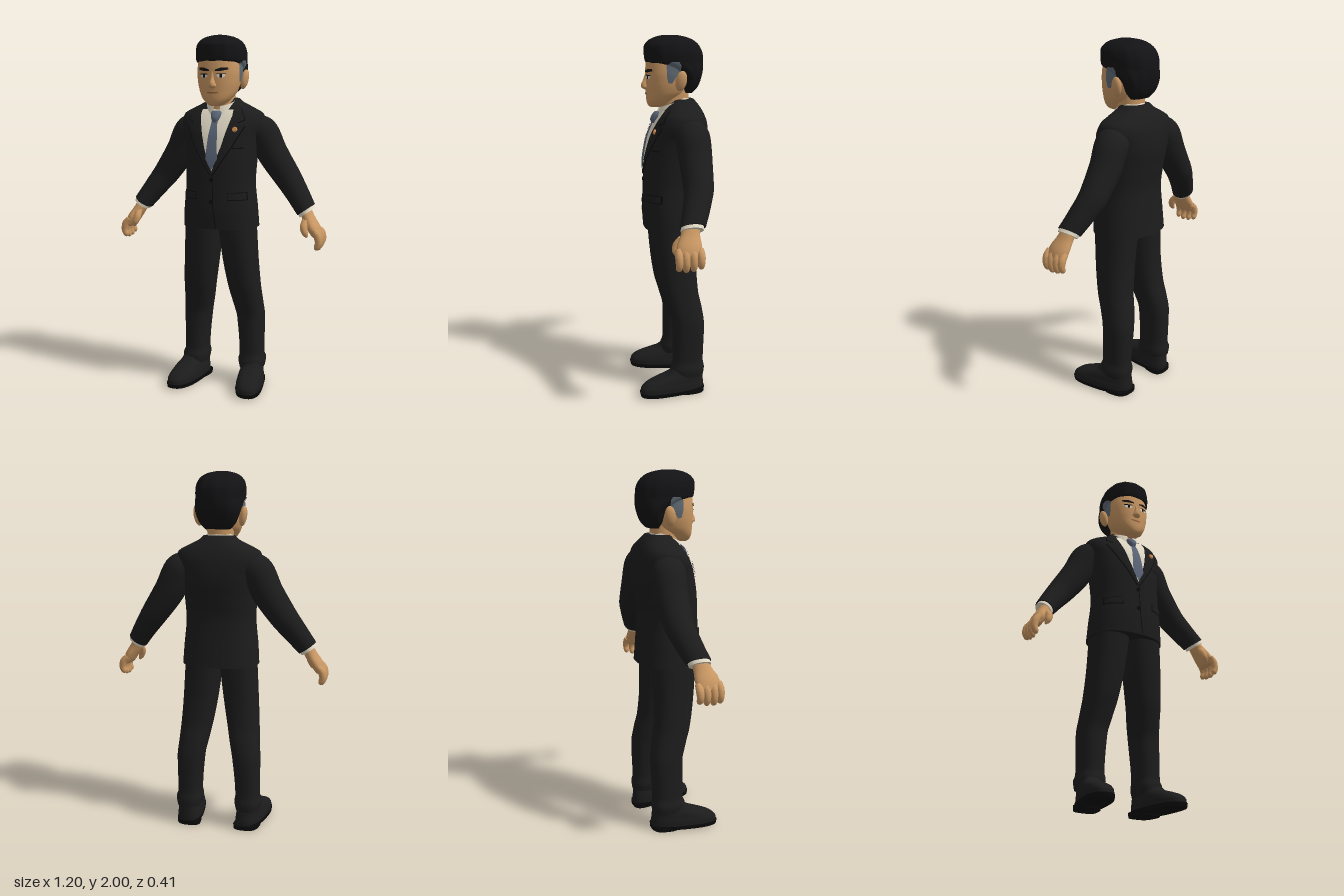
import * as THREE from 'three';

const mat = (name, color, side = THREE.FrontSide) => {
  const m = new THREE.MeshStandardMaterial({ color, side });
  m.name = name;
  return m;
};

// Smooth monotone interpolation of rows [t, v0, v1, ...]
function profile(rows) {
  const slope = (i, k) => (rows[i + 1][k] - rows[i][k]) / (rows[i + 1][0] - rows[i][0]);
  const tangent = (i, k) => {
    if (i === 0) return slope(0, k);
    if (i === rows.length - 1) return slope(i - 1, k);
    const a = slope(i - 1, k), b = slope(i, k);
    return a * b <= 0 ? 0 : (2 * a * b) / (a + b);
  };
  return t => {
    let i = 0;
    while (i < rows.length - 2 && t > rows[i + 1][0]) i++;
    const h = rows[i + 1][0] - rows[i][0];
    const s = Math.min(1, Math.max(0, (t - rows[i][0]) / h)), s2 = s * s, s3 = s2 * s;
    return rows[i].slice(1).map((v, j) => v * (2 * s3 - 3 * s2 + 1) + rows[i + 1][j + 1] * (3 * s2 - 2 * s3)
      + h * (tangent(i, j + 1) * (s3 - 2 * s2 + s) + tangent(i + 1, j + 1) * (s3 - s2)));
  };
}

// Closed skin over rings of points, with separate flat end caps
function skin(rings) {
  const n = rings[0].length, pos = [], idx = [];
  rings.forEach(r => r.forEach(p => pos.push(...p)));
  for (let i = 0; i < rings.length - 1; i++) for (let j = 0; j < n; j++) {
    const a = i * n + j, b = i * n + (j + 1) % n;
    idx.push(a, a + n, b, b, a + n, b + n);
  }
  [rings[0], rings[rings.length - 1]].forEach((r, end) => {
    const base = pos.length / 3;
    r.forEach(p => pos.push(...p));
    pos.push(...[0, 1, 2].map(k => r.reduce((s, p) => s + p[k], 0) / n));
    for (let j = 0; j < n; j++) {
      const a = base + j, b = base + (j + 1) % n;
      idx.push(base + n, end ? b : a, end ? a : b);
    }
  });
  return finish(pos, idx);
}
function finish(pos, idx) {
  const g = new THREE.BufferGeometry();
  g.setAttribute('position', new THREE.Float32BufferAttribute(pos, 3));
  g.setIndex(idx);
  g.computeVertexNormals();
  return g;
}

const power = (v, p) => Math.sign(v) * Math.abs(v) ** (2 / p);

// Upright body from rows [y, xMin, xMax, zFront, zBack]
function column(rows, p = 2.2, steps = 40, n = 40, ripple = 0) {
  const f = profile(rows), y0 = rows[0][0], y1 = rows[rows.length - 1][0], rings = [];
  for (let i = 0; i <= steps; i++) {
    const y = y0 + (y1 - y0) * i / steps, [a, b, zf, zb] = f(y), ring = [];
    for (let j = 0; j < n; j++) {
      const t = j / n * Math.PI * 2, k = 1 + ripple * Math.cos(12 * t);
      ring.push([(a + b) / 2 + k * (b - a) / 2 * power(Math.cos(t), p), y,
        (zf + zb) / 2 + k * (zf - zb) / 2 * power(Math.sin(t), p)]);
    }
    rings.push(ring);
  }
  return skin(rings);
}

// Limb along rows [x, y, z, radiusAcross, radiusZ]
function limb(rows, steps = 24, n = 24) {
  const f = profile(rows.map((r, i) => [i, ...r])), m = rows.length - 1, rings = [];
  for (let i = 0; i <= steps; i++) {
    const t = m * i / steps, [x, y, z, ru, rz] = f(t);
    const a = f(Math.max(0, t - 0.1)), b = f(Math.min(m, t + 0.1));
    const d = Math.hypot(b[0] - a[0], b[1] - a[1]), tx = (b[0] - a[0]) / d, ty = (b[1] - a[1]) / d;
    rings.push(Array.from({ length: n }, (_, j) => {
      const q = j / n * Math.PI * 2, u = ru * Math.cos(q);
      return [x + ty * u, y - tx * u, z + rz * Math.sin(q)];
    }));
  }
  return skin(rings);
}

// Thin plate from rows [y, u0, u1] (bottom up) laid on a surface
function patch(rows, place, cols = 10, sub = 6) {
  const pos = [], idx = [], total = (rows.length - 1) * sub;
  for (let i = 0; i <= total; i++) {
    const k = Math.min(rows.length - 2, Math.floor(i / sub)), s = i / sub - k;
    const [y, a, b] = rows[k].map((v, c) => v + (rows[k + 1][c] - v) * s);
    for (let j = 0; j <= cols; j++) pos.push(...place(a + (b - a) * j / cols, y));
  }
  for (let i = 0; i < total; i++) for (let j = 0; j < cols; j++) {
    const a = i * (cols + 1) + j, c = a + cols + 1;
    idx.push(a, a + 1, c, a + 1, c + 1, c);
  }
  return finish(pos, idx);
}
const onFront = (rows, p, off) => {
  const f = profile(rows);
  return (x, y) => {
    const [a, b, zf, zb] = f(y), q = Math.min(1, Math.abs(x - (a + b) / 2) / ((b - a) / 2));
    return [x, y, (zf + zb) / 2 + (zf - zb) / 2 * (1 - q ** p) ** (1 / p) + off];
  };
};
const sym = rows => rows.map(([y, a, ...z]) => [y, -a, a, ...z]);

export function createModel() {
  const suit = mat('suit black', 0x1c1c1d), hair = mat('hair black', 0x131315), skinTone = mat('skin', 0xc99763);
  const shirt = mat('shirt cream', 0xe2dac6, THREE.DoubleSide), tie = mat('tie blue grey', 0x5b6679);
  const temple = mat('temple grey', 0x5f6a74), pin = mat('pin copper', 0xd58c50), seam = mat('seam dark', 0x0b0b0c);
  const lip = mat('lip brown', 0x99643f), eye = mat('eye white', 0xd9d6cc);
  const root = new THREE.Group();
  const add = (name, geo, m) => {
    const mesh = new THREE.Mesh(geo, m);
    mesh.name = name;
    root.add(mesh);
  };
  const pair = (name, geo, m) => {
    add('left ' + name, geo, m);
    const g = geo.clone().scale(-1, 1, 1), ix = g.index.array;
    for (let i = 0; i < ix.length; i += 3) [ix[i], ix[i + 1]] = [ix[i + 1], ix[i]];
    add('right ' + name, g, m);
  };

  // Jacket body
  const torso = sym([[0.945, 0.215, 0.145, -0.188], [1.05, 0.208, 0.15, -0.18], [1.2, 0.195, 0.145, -0.172],
    [1.32, 0.2, 0.14, -0.188], [1.45, 0.215, 0.118, -0.206], [1.53, 0.238, 0.085, -0.2], [1.57, 0.23, 0.062, -0.188],
    [1.61, 0.165, 0.035, -0.17], [1.64, 0.105, 0.015, -0.15], [1.66, 0.085, 0, -0.132]]);
  const chest = off => onFront(torso, 2.4, off);
  add('jacket', column(torso, 2.4, 60, 56), suit);
  add('shirt front', patch([[1.265, -0.001, 0.001], [1.4, -0.055, 0.055], [1.57, -0.098, 0.098], [1.6, -0.09, 0.09]], chest(0.003)), shirt);
  const lapel = [[1.25, -0.004, 0.008], [1.4, 0.05, 0.105], [1.515, 0.08, 0.165], [1.53, 0.084, 0.125],
    [1.545, 0.088, 0.16], [1.57, 0.094, 0.15], [1.61, 0.092, 0.125]];
  pair('lapel edge', patch(lapel.map(([y, a, b]) => [y - 0.003, a - 0.002, b + 0.005]), chest(0.005)), seam);
  pair('lapel', patch(lapel, chest(0.009)), suit);
  add('jacket closing seam', patch([[0.95, 0.022, 0.028], [1.06, 0.008, 0.013], [1.25, 0.002, 0.007]], chest(0.003)), seam);
  pair('pocket edge', patch([[1.107, 0.09, 0.186], [1.152, 0.092, 0.183]], chest(0.004)), seam);
  pair('pocket flap', patch([[1.113, 0.094, 0.182], [1.148, 0.096, 0.179]], chest(0.008)), suit);
  add('breast pocket', patch([[1.39, 0.11, 0.165], [1.396, 0.11, 0.165]], chest(0.004)), seam);
  for (const y of [1.22, 1.1]) {
    const [x, , z] = chest(0.004)(0, y);
    add('button', new THREE.CylinderGeometry(0.011, 0.011, 0.008, 16).rotateX(Math.PI / 2).translate(x, y, z), seam);
  }
  add('lapel pin', new THREE.CylinderGeometry(0.012, 0.016, 0.01, 8).rotateX(1.3).translate(...chest(0.014)(0.117, 1.495)), pin);

  // Shirt collar, lowered at the front into two points
  const collar = new THREE.CylinderGeometry(0.08, 0.1, 0.075, 48, 1, true, 0.22, Math.PI * 2 - 0.44);
  const cp = collar.attributes.position;
  for (let i = 0; i < cp.count; i++) {
    const x = cp.getX(i), z = cp.getZ(i), low = cp.getY(i) < 0 && z > 0;
    const drop = low ? 0.035 * Math.max(0, 1 - Math.abs(Math.abs(x) - 0.055) / 0.045) : 0;
    cp.setXYZ(i, x, 1.612 + cp.getY(i) - z * 0.4 - drop, z - 0.022 + drop * 0.3);
  }
  collar.computeVertexNormals();
  add('shirt collar', collar, shirt);
  add('tie', patch([[1.275, -0.002, 0.002], [1.335, -0.034, 0.034], [1.45, -0.026, 0.026], [1.55, -0.015, 0.015]], chest(0.012)), tie);
  add('tie knot', column(sym([[1.53, 0.014, 0.1, 0.06], [1.55, 0.022, 0.106, 0.05], [1.58, 0.029, 0.092, 0.04], [1.592, 0.024, 0.08, 0.04]]), 2.5, 10, 20), tie);

  // Neck and head
  add('neck', column(sym([[1.52, 0.075, 0.05, -0.1], [1.64, 0.072, 0.045, -0.105], [1.76, 0.075, 0.05, -0.11]])), skinTone);
  const head = sym([[1.618, 0.025, 0.105, 0.04], [1.628, 0.046, 0.118, 0.01], [1.66, 0.08, 0.126, -0.03], [1.7, 0.103, 0.128, -0.08],
    [1.75, 0.116, 0.13, -0.1], [1.8, 0.121, 0.13, -0.11], [1.87, 0.117, 0.125, -0.13], [1.94, 0.09, 0.09, -0.11]]);
  const face = off => onFront(head, 2.2, off);
  add('head', column(head, 2.2, 48, 48), skinTone);
  add('nose', column(sym([[1.712, 0.009, 0.134, 0.1], [1.724, 0.024, 0.154, 0.1], [1.738, 0.019, 0.155, 0.1],
    [1.765, 0.011, 0.143, 0.1], [1.805, 0.009, 0.13, 0.1]]), 2, 16, 20), skinTone);
  add('mouth', patch([[1.685, -0.015, 0.015], [1.69, -0.032, 0.032], [1.695, -0.03, 0.03]], face(0.003)), lip);
  pair('eye', patch([[1.771, 0.033, 0.06], [1.779, 0.025, 0.07], [1.789, 0.03, 0.068]], face(0.003)), eye);
  pair('iris', patch([[1.771, 0.042, 0.054], [1.79, 0.042, 0.054]], face(0.005)), seam);
  pair('upper lid', patch([[1.788, 0.024, 0.074], [1.793, 0.03, 0.072]], face(0.005)), seam);
  pair('eyebrow', patch([[1.806, 0.016, 0.05], [1.813, 0.018, 0.084], [1.824, 0.05, 0.082]], face(0.005)), hair);
  const ear = new THREE.SphereGeometry(0.05, 20, 14).scale(0.42, 1.1, 0.62).rotateZ(-0.18).rotateX(-0.15);
  pair('ear', ear.translate(0.127, 1.763, -0.042), skinTone);

  // Swept back hair with soft grooves
  const hairRows = sym([[1.695, 0.07, -0.07, -0.125], [1.73, 0.1, -0.05, -0.155], [1.78, 0.12, -0.035, -0.173],
    [1.82, 0.129, 0.02, -0.182], [1.845, 0.132, 0.085, -0.184], [1.862, 0.134, 0.13, -0.185], [1.9, 0.135, 0.136, -0.182],
    [1.94, 0.128, 0.136, -0.165], [1.97, 0.108, 0.115, -0.135], [1.99, 0.074, 0.078, -0.09], [2, 0.03, 0.035, -0.04]]);
  add('hair', column(hairRows, 2.25, 64, 72, 0.012), hair);
  const sideX = (rows, p, z, y) => {
    const [, b, zf, zb] = profile(rows)(y), q = Math.min(1, Math.abs(z - (zf + zb) / 2) / ((zf - zb) / 2));
    return b * (1 - q ** p) ** (1 / p);
  };
  pair('temple hair', patch([[1.75, 0.025, 0.005], [1.79, 0.035, -0.02], [1.81, 0.035, -0.04], [1.845, 0.035, -0.042], [1.862, 0.012, -0.03]],
    (z, y) => [Math.max(sideX(head, 2.2, z, y), sideX(hairRows, 2.25, z, y)) + 0.004, y, z]), temple);

  // Sleeves, cuffs and hands
  pair('sleeve', limb([[0.16, 1.5, -0.08, 0.07, 0.08], [0.215, 1.472, -0.086, 0.09, 0.094], [0.275, 1.36, -0.092, 0.086, 0.088],
    [0.36, 1.235, -0.09, 0.076, 0.08], [0.43, 1.14, -0.065, 0.065, 0.074], [0.49, 1.055, -0.033, 0.056, 0.068]], 40, 32), suit);
  pair('cuff', limb([[0.475, 1.075, -0.035, 0.05, 0.06], [0.499, 1.04, -0.028, 0.049, 0.06]], 4), shirt);
  pair('palm', limb([[0.488, 1.055, -0.025, 0.032, 0.045], [0.508, 1.015, -0.015, 0.033, 0.052],
    [0.54, 0.965, -0.005, 0.033, 0.066], [0.562, 0.925, -0.003, 0.025, 0.066], [0.567, 0.912, -0.003, 0.012, 0.05]]), skinTone);
  [-0.06, -0.022, 0.017, 0.053].forEach((z, i) => {
    const len = [0.86, 1, 1.04, 0.95][i], e = 0.935;
    const at = (x, y, r) => [x, e + (y - e) * len, z, r, r];
    pair('finger', limb([at(0.55, 0.96, 0.017), at(0.575, 0.925, 0.021), at(0.581, 0.89, 0.019),
      at(0.571, 0.86, 0.016), at(0.564, 0.848, 0.006)], 16, 14), skinTone);
  });
  pair('thumb', limb([[0.502, 1.01, 0.02, 0.02, 0.025], [0.498, 0.975, 0.05, 0.021, 0.022], [0.508, 0.94, 0.06, 0.017, 0.017],
    [0.519, 0.918, 0.058, 0.006, 0.007]], 16, 14), skinTone);

  // Trousers
  pair('trouser leg', column([[0.105, 0.105, 0.243, 0.02, -0.165], [0.15, 0.096, 0.25, 0.022, -0.17], [0.185, 0.102, 0.238, 0.01, -0.163],
    [0.4, 0.085, 0.24, 0.01, -0.17], [0.5, 0.065, 0.232, 0.035, -0.158], [0.6, 0.045, 0.225, 0.065, -0.138],
    [0.75, 0.02, 0.215, 0.09, -0.13], [0.9, 0.001, 0.206, 0.105, -0.135], [1, -0.01, 0.2, 0.11, -0.14]], 2.4, 50, 36), suit);

  // Shoes, turned slightly outward
  const toeOut = g => {
    const p = g.attributes.position;
    for (let i = 0; i < p.count; i++) p.setX(i, p.getX(i) + p.getZ(i) * 0.15);
    g.computeVertexNormals();
    return g;
  };
  pair('shoe', toeOut(column([[0.02, 0.112, 0.262, 0.203, -0.168], [0.05, 0.112, 0.262, 0.2, -0.168], [0.075, 0.116, 0.258, 0.175, -0.166],
    [0.1, 0.122, 0.254, 0.115, -0.164], [0.125, 0.13, 0.246, 0.045, -0.158], [0.15, 0.135, 0.24, 0.015, -0.15]], 2.6, 24, 36)), suit);
  pair('sole', toeOut(column([[0.008, 0.112, 0.262, 0.202, -0.14], [0.03, 0.108, 0.266, 0.207, -0.172]], 2.6, 2, 36)), seam);
  pair('heel', toeOut(column([[0, 0.118, 0.256, -0.025, -0.17], [0.025, 0.116, 0.258, -0.02, -0.172]], 3, 2, 28)), seam);
  return root;
}
